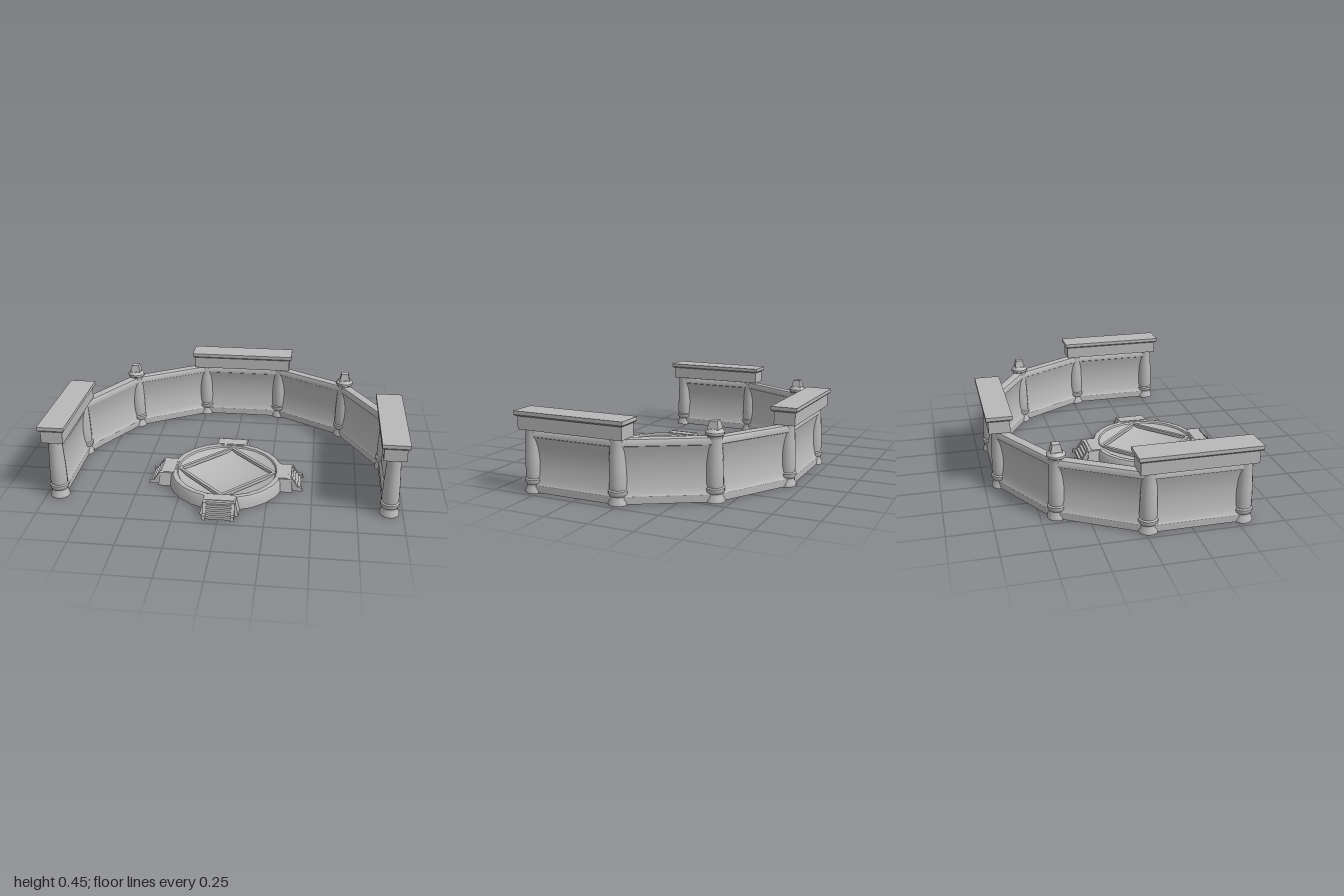
import * as THREE from 'three';
import { toCreasedNormals } from 'three/addons/utils/BufferGeometryUtils.js';

const stone = new THREE.MeshStandardMaterial({ color: 0xb8b8b8, side: THREE.DoubleSide });
stone.name = 'grey stone';

function add(parent, name, geo, x = 0, y = 0, z = 0) {
  const m = new THREE.Mesh(geo, stone);
  m.name = name;
  m.position.set(x, y, z);
  parent.add(m);
  return m;
}

const box = (w, h, d) => new THREE.BoxGeometry(w, h, d);

function lathe(points, sides) {
  const pts = points.map(([r, y]) => new THREE.Vector2(r, y));
  return toCreasedNormals(new THREE.LatheGeometry(pts, sides), 0.6);
}

// Extrudes an outline along z, keeping sharp edges
function extrude(points, depth) {
  const shape = new THREE.Shape(points.map(([x, y]) => new THREE.Vector2(x, y)));
  return toCreasedNormals(new THREE.ExtrudeGeometry(shape, { depth, bevelEnabled: false }), 0.5);
}

// Box whose top is smaller than its base
function frustum(w0, d0, w1, d1, h) {
  const g = box(1, h, 1).toNonIndexed();
  const p = g.attributes.position;
  for (let i = 0; i < p.count; i++) {
    const top = p.getY(i) > 0;
    p.setX(i, p.getX(i) * (top ? w1 : w0));
    p.setZ(i, p.getZ(i) * (top ? d1 : d0));
  }
  g.translate(0, h / 2, 0);
  g.computeVertexNormals();
  return g;
}

// Half of the wall section: bottom rail, hollow panel, top rail
function wallSection() {
  const half = [[0.034, 0.004], [0.034, 0.045], [0.029, 0.052]];
  for (let i = 0; i <= 10; i++) {
    const t = i / 5 - 1;
    half.push([0.01 + 0.018 * t * t, 0.18 + 0.125 * t]);
  }
  half.push([0.033, 0.308], [0.033, 0.328], [0.026, 0.342], [0.014, 0.346]);
  return [...half, ...half.map(([x, y]) => [-x, y]).reverse()];
}

function column(tall) {
  const g = new THREE.Group();
  g.name = tall ? 'finialColumn' : 'column';
  add(g, 'columnShaft', lathe([
    [0, 0], [0.055, 0], [0.054, 0.014], [0.045, 0.03], [0.044, 0.045], [0.053, 0.058],
    [0.054, 0.074], [0.046, 0.08], [0.048, 0.1], [0.046, 0.18], [0.042, 0.26],
    [0.039, 0.32], [0.04, 0.352], [0, 0.352]], 16));
  if (tall) {
    add(g, 'columnCap', lathe([
      [0, 0.335], [0.04, 0.335], [0.044, 0.35], [0.052, 0.355], [0.052, 0.368],
      [0.036, 0.386], [0, 0.386]], 12));
    add(g, 'finial', frustum(0.062, 0.062, 0.042, 0.042, 0.045), 0, 0.382, 0);
  }
  return g;
}

function roof(x, z, w, d) {
  const g = new THREE.Group();
  g.name = 'roof';
  add(g, 'beam', box(w - 0.028, 0.08, d - 0.028), 0, 0.389, 0);
  add(g, 'roofSlab', frustum(w - 0.014, d - 0.014, w, d, 0.008), 0, 0.422, 0);
  add(g, 'roofTop', box(w, 0.02, d), 0, 0.44, 0);
  g.position.set(x, 0, z);
  return g;
}

// Stair block facing +z, measured from the basin centre
function stair() {
  const g = new THREE.Group();
  g.name = 'stair';
  add(g, 'landing', frustum(0.214, 0.11, 0.18, 0.085, 0.076), 0, 0, 0.335);
  add(g, 'landingTop', box(0.165, 0.012, 0.06), 0, 0.073, 0.33);
  // Profile runs outwards along x, then turns to face z
  const profile = [[0.33, 0], [0.447, 0], [0.441, 0.024], [0.418, 0.024], [0.386, 0.075], [0.33, 0.075]];
  for (const x of [-0.087, 0.069]) {
    const cheek = add(g, 'stairCheek', extrude(profile, 0.018), x + 0.018, 0, 0);
    cheek.rotation.y = -Math.PI / 2;
    cheek.position.x = x + 0.018;
  }
  for (let i = 0; i < 4; i++) {
    const h = 0.016 * (i + 1), front = 0.434 - i * 0.015;
    add(g, 'step', box(0.138, h, front - 0.33), 0, h / 2, (front + 0.33) / 2);
  }
  return g;
}

export function createModel() {
  const model = new THREE.Group();
  model.name = 'colonnadeAndBasin';

  // Columns in order around the court, with a wall between each pair
  const side = [[0.925, 0.535], [0.925, 0.02], [0.675, -0.408], [0.25, -0.655]];
  const plan = [...side, ...side.map(([x, z]) => [-x, z]).reverse()];
  const section = wallSection();
  plan.forEach(([x, z], i) => {
    const c = column(i === 2 || i === 5);
    c.position.set(x, 0, z);
    model.add(c);
    if (i === plan.length - 1) return;
    const dx = plan[i + 1][0] - x, dz = plan[i + 1][1] - z;
    const wall = add(model, 'wall', extrude(section, Math.hypot(dx, dz)), x, 0, z);
    wall.rotation.y = Math.atan2(dx, dz);
  });

  // Roofs over the sides and the back
  for (const s of [-1, 1]) model.add(roof(s * 0.925, 0.272, 0.15, 0.655));
  model.add(roof(0, -0.655, 0.655, 0.148));

  // Round basin with rim and bowl
  const basin = new THREE.Group();
  basin.name = 'basin';
  basin.position.set(0, 0, 0.273);
  add(basin, 'basinRim', lathe([
    [0.3, 0], [0.338, 0], [0.33, 0.06], [0.322, 0.073], [0.306, 0.077], [0.292, 0.072], [0.286, 0.062]], 24));
  const bowl = [];
  for (let i = 0; i <= 8; i++) {
    const r = 0.29 * i / 8;
    bowl.push([r, 0.008 + 0.056 * (r / 0.29) ** 2]);
  }
  add(basin, 'basinBowl', lathe(bowl, 24));

  // Square frame across the bowl and a stair on each axis
  for (let i = 0; i < 4; i++) {
    const arm = new THREE.Group();
    arm.name = 'basinQuarter';
    arm.rotation.y = i * Math.PI / 2;
    arm.add(stair());
    const bar = add(arm, 'frameBar', box(0.4, 0.02, 0.018), 0.139, 0.057, 0.139);
    bar.rotation.y = Math.PI / 4;
    basin.add(arm);
  }
  model.add(basin);
  return model;
}
